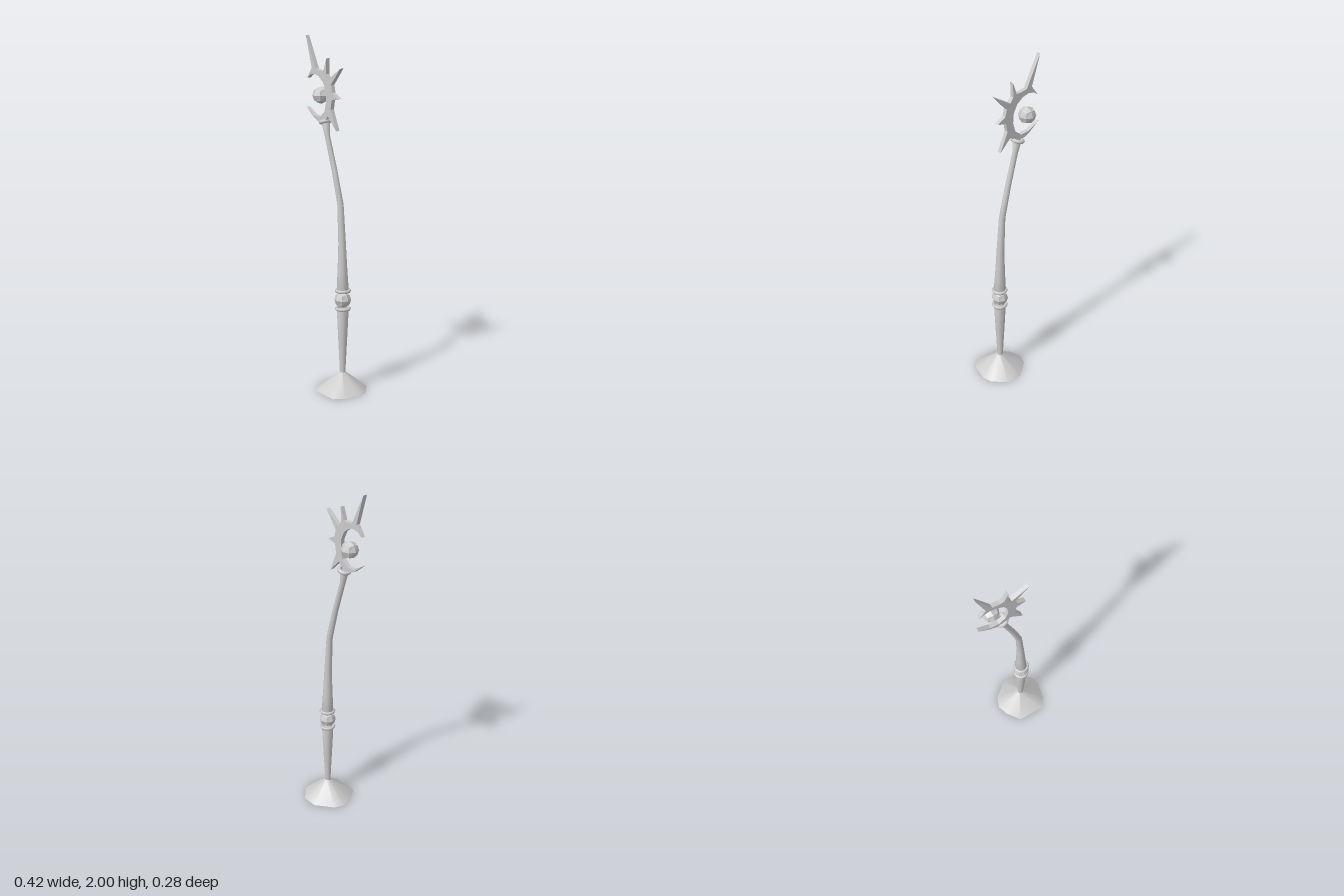
import * as THREE from 'three';

const grey = new THREE.MeshStandardMaterial({ color: 0xcccccc, side: THREE.DoubleSide });
const flat = new THREE.MeshStandardMaterial({ color: 0xcccccc, flatShading: true });

// Surface through rings of points, ordered from bottom to top
function loft(rings) {
  const n = rings[0].length;
  const pos = rings.flat().flatMap((p) => [p.x, p.y, p.z]);
  const idx = [];
  for (let r = 0; r < rings.length - 1; r++) {
    for (let i = 0; i < n; i++) {
      const a = r * n + i, b = r * n + ((i + 1) % n);
      idx.push(a, a + n, b, b, a + n, b + n);
    }
  }
  const g = new THREE.BufferGeometry();
  g.setAttribute('position', new THREE.Float32BufferAttribute(pos, 3));
  g.setIndex(idx);
  g.computeVertexNormals();
  return g;
}

// Horizontal ring, optionally sloped along x
function ring(x, y, z, r, sides = 10, slope = 0) {
  return Array.from({ length: sides }, (_, i) => {
    const a = (-i / sides) * Math.PI * 2;
    const dx = Math.cos(a) * r;
    return new THREE.Vector3(x + dx, y + dx * slope, z + Math.sin(a) * r);
  });
}

// Faceted ball: a 2x2x2 divided cube pushed out to a sphere
function ball(r) {
  const g = new THREE.BoxGeometry(1, 1, 1, 2, 2, 2);
  const p = g.attributes.position;
  const v = new THREE.Vector3();
  for (let i = 0; i < p.count; i++) {
    v.fromBufferAttribute(p, i).setLength(r);
    p.setXYZ(i, v.x, v.y, v.z);
  }
  return g;
}

export function createModel() {
  const model = new THREE.Group();
  model.name = 'staff';
  const add = (name, geometry, material, x = 0, y = 0, z = 0) => {
    const m = new THREE.Mesh(geometry, material);
    m.name = name;
    m.position.set(x, y, z);
    model.add(m);
    return m;
  };

  // Flared foot with an uneven polygon outline
  const foot = [
    [0.212, -0.016], [0.195, -0.071], [0.118, -0.139], [0.027, -0.139], [-0.066, -0.061],
    [-0.086, 0], [-0.066, 0.06], [-0.007, 0.138], [0.152, 0.138], [0.191, 0.084],
  ];
  const footRing = foot.map(([x, z]) => new THREE.Vector3(x, 0, z));
  const neckRing = foot.map(([x, z]) => {
    const d = new THREE.Vector2(x - 0.07, z).setLength(0.017);
    return new THREE.Vector3(0.07 + d.x, 0.107, d.y);
  });
  add('foot', loft([footRing, neckRing].map((r) => r.slice().reverse()).map((r) => r.reverse())), grey);
  const cap = new THREE.ShapeGeometry(new THREE.Shape(foot.map(([x, z]) => new THREE.Vector2(x, z))));
  add('footUnderside', cap.rotateX(Math.PI / 2), grey);

  // Lower grip, widening upward
  add('lowerShaft', loft([
    ring(0.07, 0.1, 0, 0.016), ring(0.07, 0.3, 0, 0.026),
    ring(0.07, 0.486, 0, 0.035), ring(0.07, 0.486, 0, 0.002),
  ]), grey);

  // Knob between two rings
  add('knob', ball(0.048), flat, 0.07, 0.539, 0);
  for (const y of [0.487, 0.592]) {
    const collar = add('knobRing', new THREE.TorusGeometry(0.037, 0.0095, 6, 12), grey, 0.071, y, 0);
    collar.rotation.x = Math.PI / 2;
  }

  // Upper shaft, bending over toward the head
  add('upperShaft', loft([
    ring(0.07, 0.592, 0, 0.002), ring(0.07, 0.592, 0, 0.035), ring(0.067, 0.72, 0, 0.028),
    ring(0.064, 0.86, 0, 0.022), ring(0.05, 1.085, 0.001, 0.018, 10, 0.12),
    ring(0.005, 1.27, 0.006, 0.016, 10, 0.25), ring(-0.05, 1.46, 0.013, 0.015, 10, 0.27),
    ring(-0.063, 1.53, 0.013, 0.024, 10, 0.27), ring(-0.063, 1.53, 0.013, 0.002, 10, 0.27),
  ]), grey);

  // Tilted ring under the head
  const headRing = add('headRing', new THREE.TorusGeometry(0.029, 0.011, 8, 16).rotateX(Math.PI / 2),
    grey, -0.065, 1.536, 0.011);
  headRing.rotation.z = 0.3;

  // Spiked crescent: outer edge with spikes, then back along the inner edge
  const crescent = [
    [-0.212, 2.0], [-0.125, 1.822], [-0.085, 1.815], [-0.058, 1.815], [-0.033, 1.885],
    [-0.035, 1.8], [-0.015, 1.772], [0.085, 1.838], [0.008, 1.745], [0.018, 1.703],
    [0.068, 1.674], [0.014, 1.662], [0.004, 1.61], [0.052, 1.497], [-0.02, 1.57],
    [-0.045, 1.535], [-0.088, 1.527], [-0.14, 1.55], [-0.208, 1.605], [-0.14, 1.566],
    [-0.09, 1.56], [-0.05, 1.592], [-0.034, 1.65], [-0.038, 1.705], [-0.062, 1.754],
    [-0.1, 1.783], [-0.14, 1.794], [-0.175, 1.785], [-0.2, 1.766], [-0.16, 1.825],
  ];
  const outline = new THREE.Shape(crescent.map(([x, y]) => new THREE.Vector2(x, y)));
  add('spikedCrescent', new THREE.ExtrudeGeometry(outline, { depth: 0.024, bevelEnabled: false }),
    flat, 0, 0, 0.01);

  // Orb held inside the crescent
  add('orb', ball(0.049), flat, -0.12, 1.675, 0);

  return model;
}
